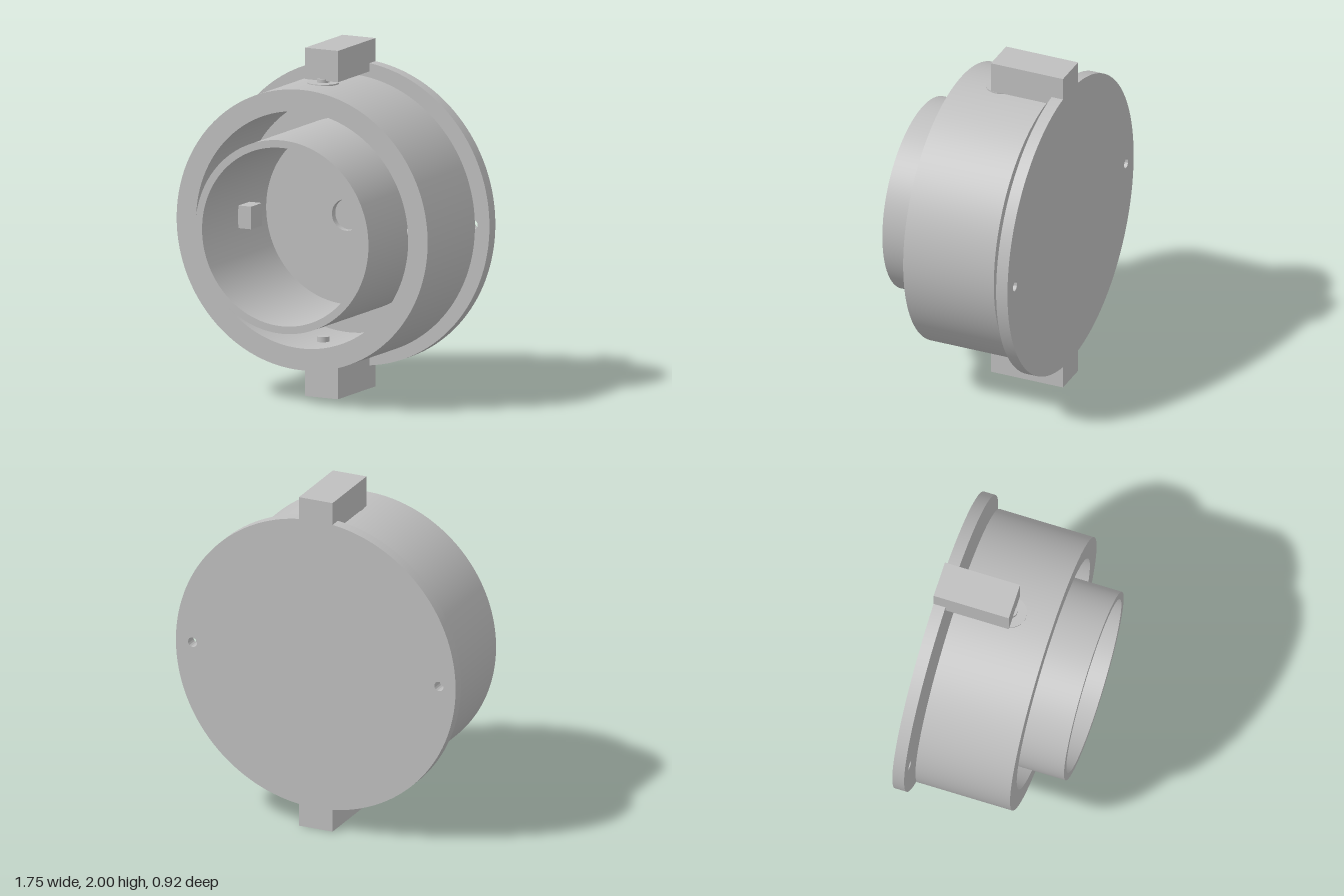
import * as THREE from 'three';
import { toCreasedNormals } from 'three/addons/utils/BufferGeometryUtils.js';

const CY = 1; // height of the common axis
const PIVOT_Z = -0.03; // depth of both pivot axes

export function createModel() {
  const model = new THREE.Group();
  model.name = 'gimbal';
  const grey = new THREE.MeshStandardMaterial({ color: 0xbfbfbf });
  grey.name = 'light grey';

  function add(name, geometry, x, y, z) {
    const mesh = new THREE.Mesh(geometry, grey);
    mesh.name = name;
    mesh.position.set(x, y, z);
    model.add(mesh);
    return mesh;
  }

  // Round slab facing z, with holes given as [x, radius]
  function disc(name, radius, holes, z0, z1) {
    const shape = new THREE.Shape().absarc(0, 0, radius, 0, Math.PI * 2, false);
    for (const [x, r] of holes) {
      shape.holes.push(new THREE.Path().absarc(x, 0, r, 0, Math.PI * 2, true));
    }
    const geometry = new THREE.ExtrudeGeometry(shape, {
      depth: z1 - z0, bevelEnabled: false, curveSegments: 96,
    });
    return add(name, toCreasedNormals(geometry, 0.6), 0, CY, z0);
  }

  // Back plate with two screw holes
  disc('backPlate', 0.874, [[-0.77, 0.028], [0.77, 0.028]], -0.455, -0.385);

  // Outer ring, open at both ends
  disc('outerRing', 0.805, [[0, 0.68]], -0.34, 0.22);

  // Inner cup: tube wall and a floor with a cable hole
  disc('innerTube', 0.555, [[0, 0.512]], -0.34, 0.46);
  disc('innerFloor', 0.514, [[0, 0.09]], -0.339, -0.3);

  for (const s of [-1, 1]) {
    // Arms reaching forward from the plate
    add('arm', new THREE.BoxGeometry(0.21, 0.18, 0.445), 0, CY + s * 0.91, -0.2325);

    // Vertical pivot pins through the outer ring, with thin washers
    add('verticalPin', new THREE.CylinderGeometry(0.035, 0.035, 0.18, 32), 0, CY + s * 0.74, PIVOT_Z);
    add('washer', new THREE.CylinderGeometry(0.09, 0.09, 0.008, 48), 0, CY + s * 0.805, PIVOT_Z);

    // Horizontal pivot pins on the inner tube
    const pin = add('horizontalPin', new THREE.CylinderGeometry(0.035, 0.035, 0.065, 32), s * 0.5475, CY, PIVOT_Z);
    pin.rotation.z = Math.PI / 2;

    // Motor blocks inside the tube and the outer ring
    add('innerBlock', new THREE.BoxGeometry(0.09, 0.13, 0.13), s * 0.473, CY, PIVOT_Z);
    add('outerBlock', new THREE.BoxGeometry(0.07, 0.13, 0.13), s * 0.652, CY, PIVOT_Z);
  }
  return model;
}
